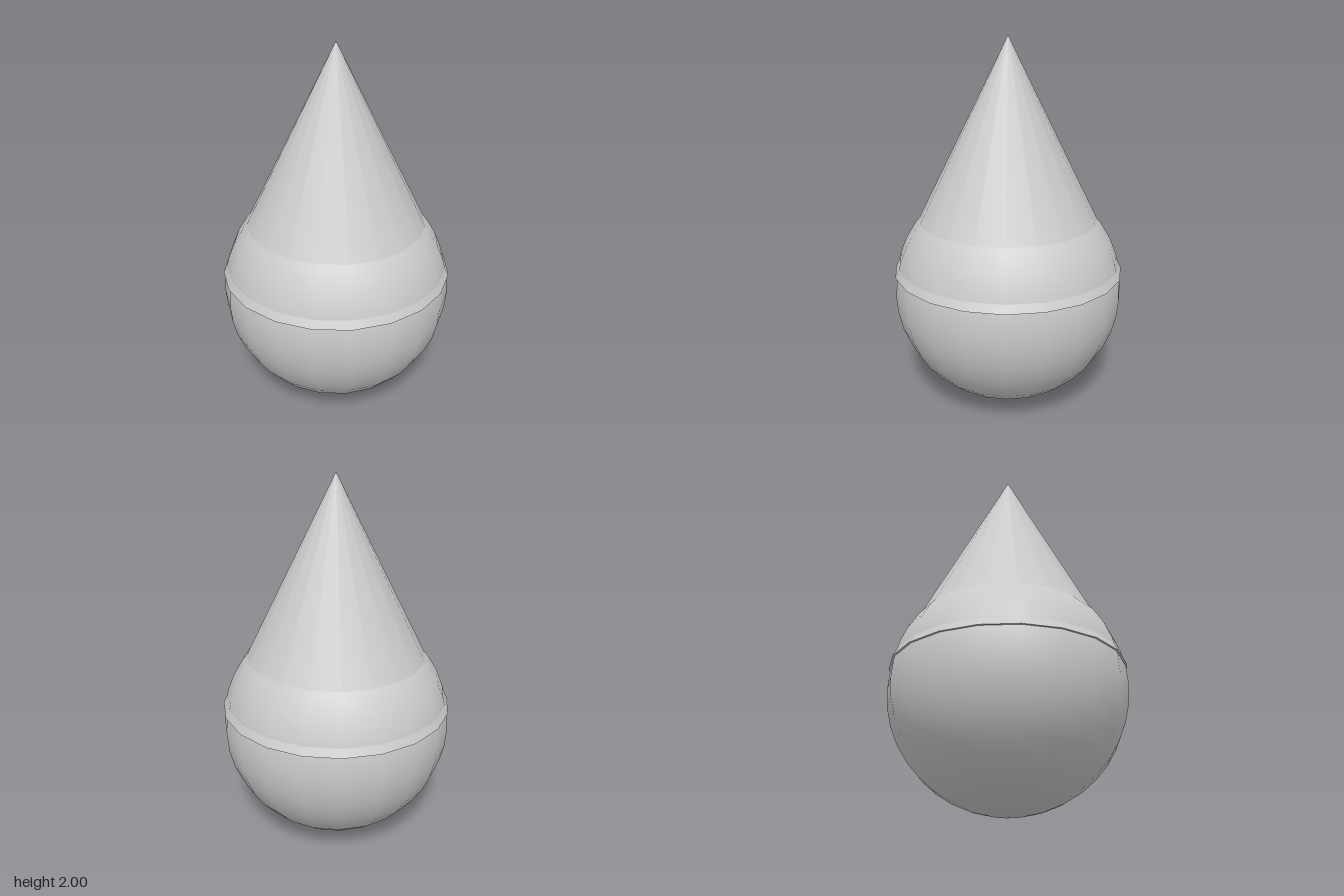
import * as THREE from 'three';

export function createModel() {
  const model = new THREE.Group();
  const material = new THREE.MeshStandardMaterial({ color: 0xcccccc });
  const radius = 0.632, sides = 20;
  const baseY = 0.745, tipY = 2;

  const addPart = (name, geometry, y) => {
    const mesh = new THREE.Mesh(geometry, material);
    mesh.name = name;
    mesh.position.y = y;
    model.add(mesh);
  };

  // Round lower body
  addPart('ball', new THREE.SphereGeometry(radius, sides, sides), radius);

  // Pointed top, its rim standing just proud of the ball
  const height = tipY - baseY;
  addPart('cone', new THREE.ConeGeometry(radius, height, sides), baseY + height / 2);

  return model;
}
